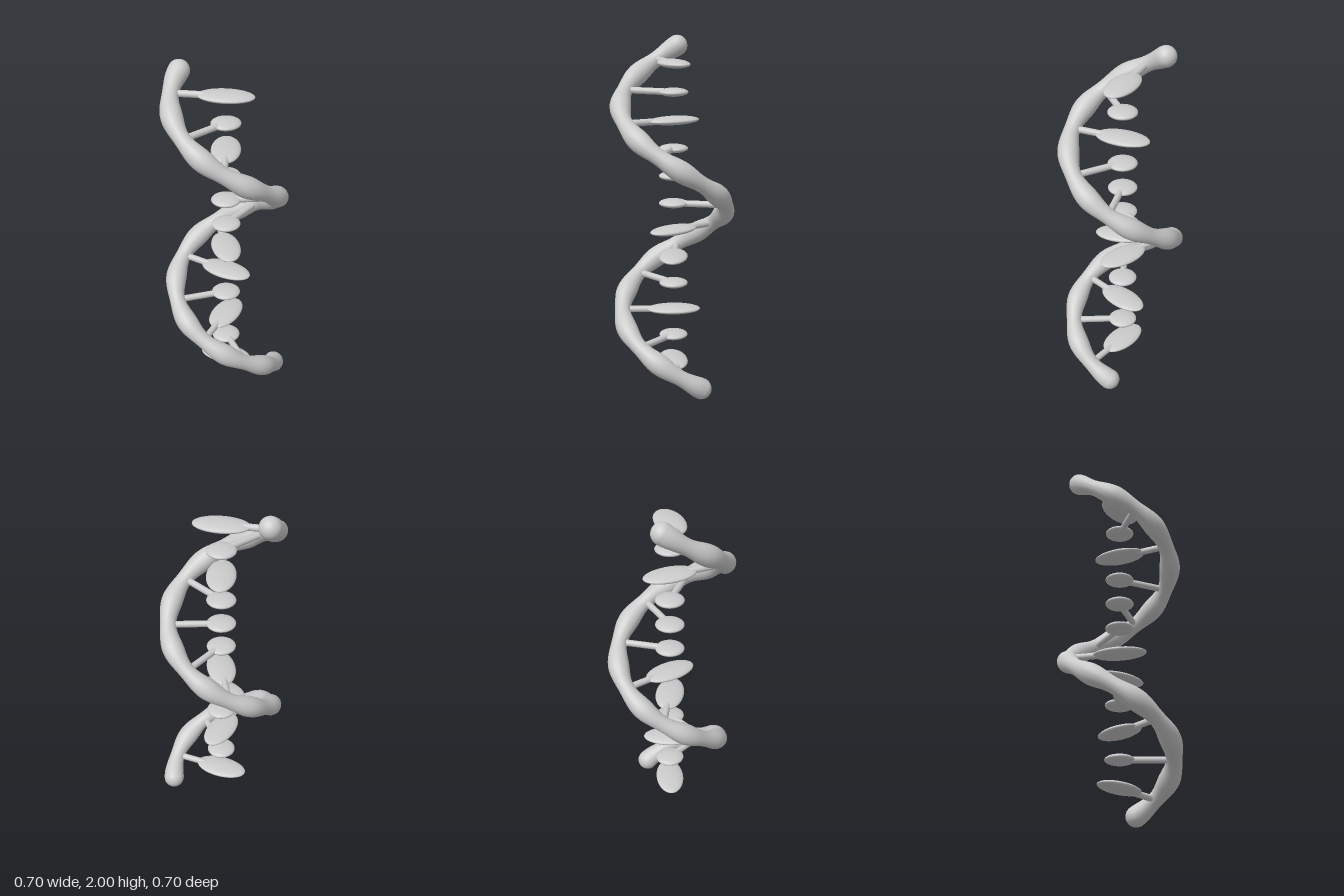
import * as THREE from 'three';
import { mergeVertices } from 'three/addons/utils/BufferGeometryUtils.js';

const RADIUS = 0.294, COUNT = 12, BOTTOM = 0.06, PITCH = 0.157;
const STEP = THREE.MathUtils.degToRad(48);
const LONG_BASES = [0, 2, 4, 5, 9, 11];

// Point on the helix, k measured in rung steps
function helixPoint(k, target = new THREE.Vector3()) {
  return target.set(RADIUS * Math.cos(k * STEP), BOTTOM + PITCH * k, RADIUS * Math.sin(k * STEP));
}

class Helix extends THREE.Curve {
  getPoint(t, target) { return helixPoint(t * COUNT, target); }
}

// Strand that swells between the rungs and narrows at each rung
function strandGeometry() {
  const segments = 240, sides = 20, curve = new Helix();
  const geo = new THREE.TubeGeometry(curve, segments, 1, sides);
  const pos = geo.attributes.position;
  const v = new THREE.Vector3();
  for (let i = 0; i < pos.count; i++) {
    const t = Math.floor(i / (sides + 1)) / segments;
    const centre = curve.getPoint(t);
    const r = 0.0525 + 0.0075 * Math.cos(t * COUNT * Math.PI * 2);
    v.fromBufferAttribute(pos, i).sub(centre).multiplyScalar(r).add(centre);
    pos.setXYZ(i, v.x, v.y, v.z);
  }
  geo.deleteAttribute('uv');
  geo.deleteAttribute('normal');
  const merged = mergeVertices(geo, 1e-5);
  merged.computeVertexNormals();
  return merged;
}

export function createModel() {
  const group = new THREE.Group();
  const material = new THREE.MeshStandardMaterial({ color: 0xcccccc });
  const add = (parent, geometry, name) => {
    const mesh = new THREE.Mesh(geometry, material);
    mesh.name = name;
    parent.add(mesh);
    return mesh;
  };

  add(group, strandGeometry(), 'strand');

  // Rounded strand ends
  const ball = new THREE.SphereGeometry(0.06, 28, 20);
  helixPoint(0, add(group, ball, 'bottomEnd').position);
  helixPoint(COUNT, add(group, ball, 'topEnd').position);

  // Rungs: a rod from the strand to a flat oval base on the axis
  const oval = new THREE.SphereGeometry(1, 36, 20);
  for (let i = 0; i < COUNT; i++) {
    const rung = new THREE.Group();
    rung.name = 'rung' + (i + 1);
    rung.position.y = BOTTOM + PITCH * (i + 0.5);
    rung.rotation.y = -(i + 0.5) * STEP;

    const length = LONG_BASES.includes(i) ? 0.155 : 0.083;
    add(rung, oval, 'base').scale.set(length, 0.024, 0.082);

    const inner = length - 0.05, outer = RADIUS;
    const rod = add(rung, new THREE.CylinderGeometry(0.019, 0.019, outer - inner, 16), 'rod');
    rod.rotation.z = Math.PI / 2;
    rod.position.x = (inner + outer) / 2;
    group.add(rung);
  }
  return group;
}
